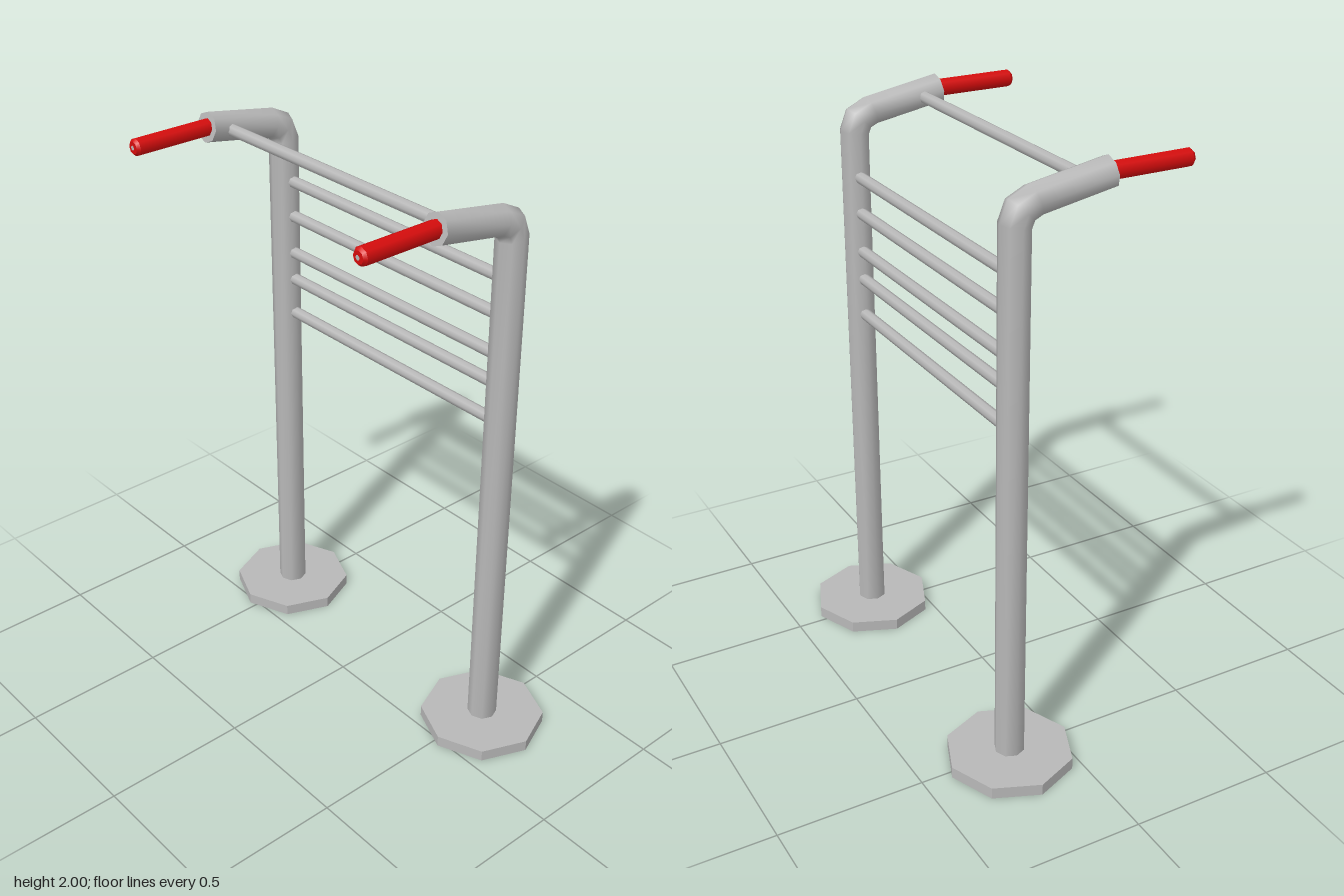
import * as THREE from 'three';

const grey = new THREE.MeshStandardMaterial({ color: 0xb8b8b8 });
grey.name = 'grey steel';
const red = new THREE.MeshStandardMaterial({ color: 0xd60c0c });
red.name = 'red grip';

const POST_X = 0.525, POST_Z = -0.19, SIDES = 8;

function add(parent, name, geometry, material, x, y, z) {
  const mesh = new THREE.Mesh(geometry, material);
  mesh.name = name;
  mesh.position.set(x, y, z);
  parent.add(mesh);
  return mesh;
}

// Mitred pipe swept through [y, z] points lying in one vertical plane
function bentPipe(path, radius) {
  const pts = path.map(([y, z]) => new THREE.Vector3(0, y, z));
  const dirs = pts.slice(1).map((p, i) => p.clone().sub(pts[i]).normalize());
  const pos = [], index = [];
  pts.forEach((p, i) => {
    const before = dirs[Math.max(i - 1, 0)];
    const after = dirs[Math.min(i, dirs.length - 1)];
    const t = before.clone().add(after).normalize();
    const miter = radius / t.dot(after);
    for (let j = 0; j < SIDES; j++) {
      const a = (j / SIDES) * Math.PI * 2;
      const s = Math.sin(a) * miter;
      pos.push(Math.cos(a) * radius, p.y + s * t.z, p.z - s * t.y);
      if (i < pts.length - 1) {
        const a0 = i * SIDES + j, b0 = i * SIDES + (j + 1) % SIDES;
        index.push(a0, b0, b0 + SIDES, a0, b0 + SIDES, a0 + SIDES);
      }
    }
  });
  const geo = new THREE.BufferGeometry();
  geo.setAttribute('position', new THREE.Float32BufferAttribute(pos, 3));
  geo.setIndex(index);
  geo.computeVertexNormals();
  return geo;
}

// Horizontal bar between the two sides
function bar(parent, name, y, z) {
  const geo = new THREE.CylinderGeometry(0.02, 0.02, 2 * POST_X - 0.06, SIDES);
  add(parent, name, geo, grey, 0, y, z).rotation.z = Math.PI / 2;
}

export function createModel() {
  const model = new THREE.Group();
  model.name = 'exerciseBars';

  const path = [[0.03, POST_Z], [1.845, POST_Z], [1.888, -0.173], [1.909, -0.13], [1.953, 0.12]];
  const armTilt = Math.atan2(1.953 - 1.909, 0.25);

  for (const side of [1, -1]) {
    const frame = new THREE.Group();
    frame.name = side > 0 ? 'leftSide' : 'rightSide';
    frame.position.x = side * POST_X;
    model.add(frame);

    // Octagonal foot
    const foot = new THREE.CylinderGeometry(0.213, 0.213, 0.04, SIDES).toNonIndexed();
    foot.computeVertexNormals();
    add(frame, 'footPlate', foot, grey, 0, 0.02, POST_Z);

    // Upright bending forward into the arm
    add(frame, 'post', bentPipe(path, 0.05), grey, 0, 0, 0);
    const cap = add(frame, 'armEnd', new THREE.CircleGeometry(0.05, SIDES), grey, 0, 1.953, 0.12);
    cap.rotation.x = -armTilt;

    // Grip with a bevelled end and a small plug
    const profile = [[0.029, 0], [0.029, 0.28], [0.029, 0.28], [0.021, 0.29], [0.021, 0.29], [0, 0.29]]
      .map(([r, h]) => new THREE.Vector2(r, h));
    const grip = add(frame, 'grip', new THREE.LatheGeometry(profile, SIDES), red, 0, 1.953, 0.11);
    grip.rotation.x = Math.PI / 2;
    add(frame, 'gripPlug', new THREE.CircleGeometry(0.008, SIDES), grey, 0, 1.953, 0.402);
  }

  // Ladder rungs and the front crossbar
  [1.21, 1.34, 1.44, 1.575, 1.7].forEach((y, i) => bar(model, 'rung' + (i + 1), y, -0.193));
  bar(model, 'crossbar', 1.939, 0.05);

  return model;
}
